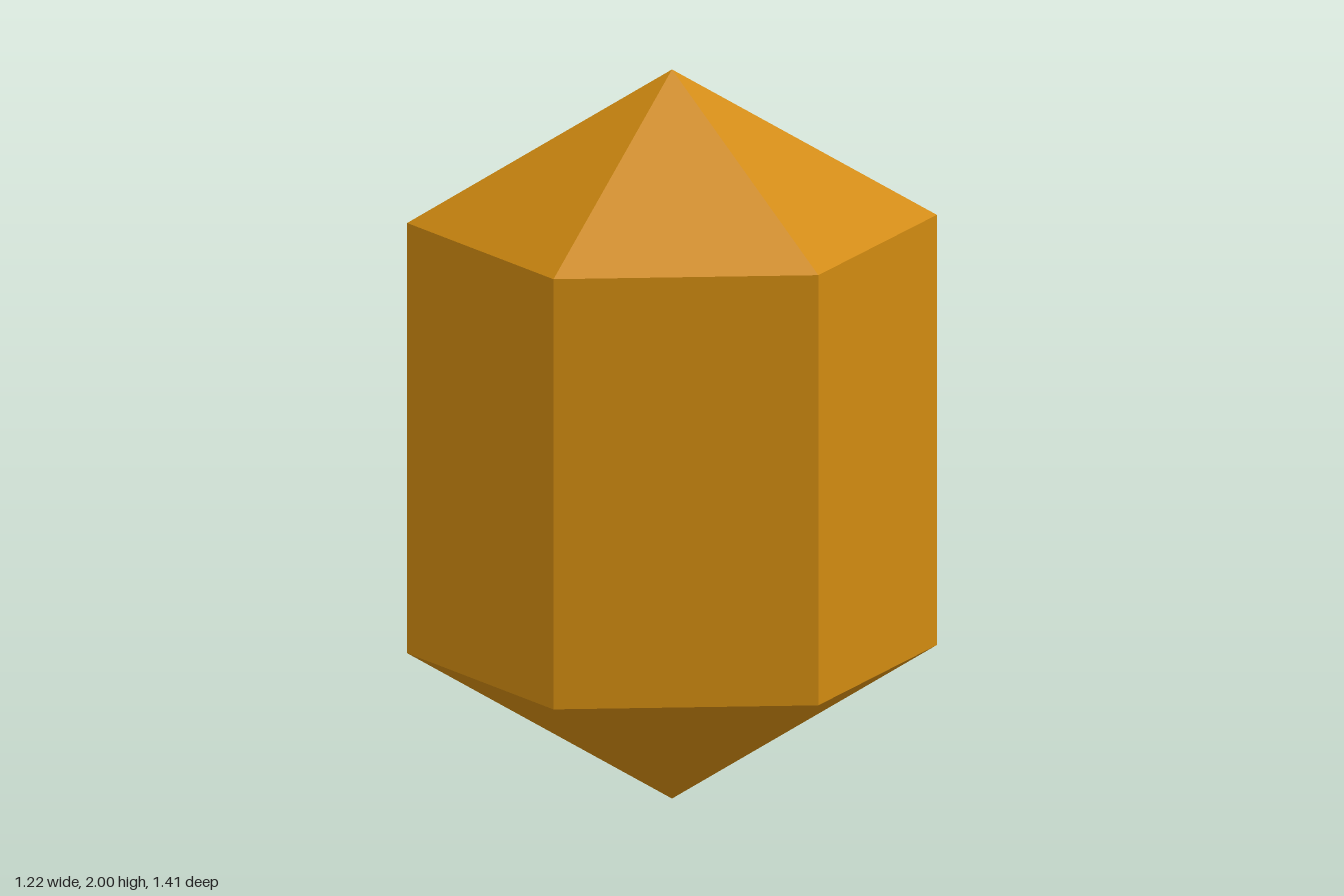
import * as THREE from 'three';

const SIDES = 6, RADIUS = 0.704, SHAFT = 1.18, TIP = 0.41;

export function createModel() {
  const group = new THREE.Group();
  group.name = 'crystal';
  const amber = new THREE.MeshStandardMaterial({ color: 0xd08a10 });
  amber.name = 'amber';

  // Facets are split so every face has its own flat normal
  const add = (name, geometry, y) => {
    const flat = geometry.toNonIndexed();
    flat.computeVertexNormals();
    const mesh = new THREE.Mesh(flat, amber);
    mesh.name = name;
    mesh.position.y = y;
    group.add(mesh);
  };

  // Hexagonal shaft with an edge facing the front
  add('shaft', new THREE.CylinderGeometry(RADIUS, RADIUS, SHAFT, SIDES, 1, true), 1);

  // Matching pointed ends
  add('upperPoint', new THREE.CylinderGeometry(0, RADIUS, TIP, SIDES, 1, true), 2 - TIP / 2);
  add('lowerPoint', new THREE.CylinderGeometry(RADIUS, 0, TIP, SIDES, 1, true), TIP / 2);

  return group;
}
